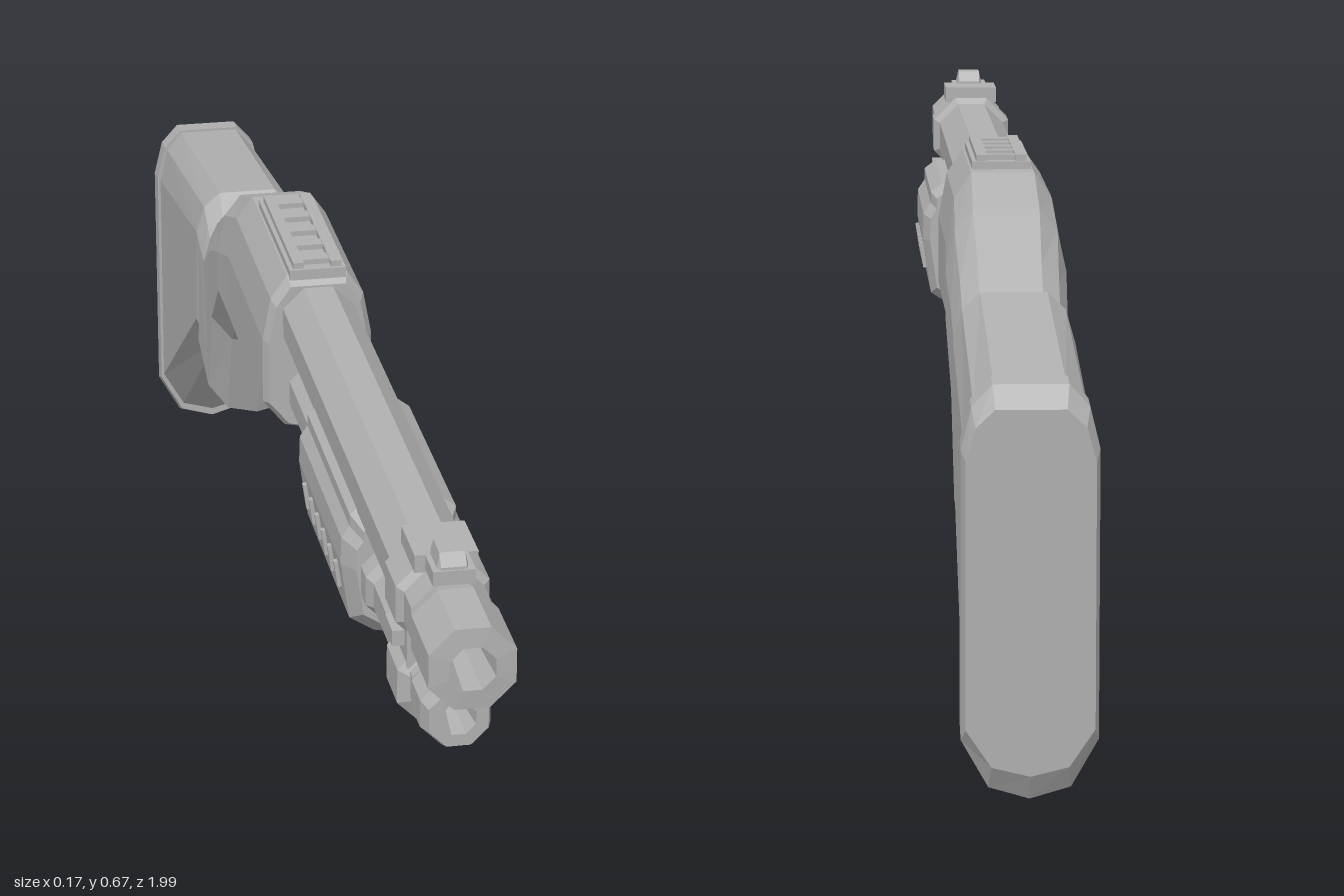
import * as THREE from 'three';

const AXIS = -0.004; // centre line of the whole model in x
const steel = new THREE.MeshStandardMaterial({ color: 0xb0b0b0, flatShading: true });
steel.name = 'grey';

export function createModel() {
  const model = new THREE.Group();
  model.name = 'pumpActionLongGun';

  const add = (name, geometry, x = AXIS, y = 0, z = 0) => {
    const mesh = new THREE.Mesh(geometry, steel);
    mesh.name = name;
    mesh.position.set(x, y, z);
    model.add(mesh);
    return mesh;
  };
  const box = (name, w, h, d, x, y, z) => add(name, new THREE.BoxGeometry(w, h, d), AXIS + x, y, z);

  // Octagonal turned part along z; the profile is [radius, z] from back to front
  const turned = (name, y, profile) => {
    const g = new THREE.LatheGeometry(profile.map(([r, z]) => new THREE.Vector2(r, z)), 8, Math.PI / 8);
    g.rotateX(Math.PI / 2);
    return add(name, g, AXIS, y);
  };

  // Skin over rings running from front to back, closed at both ends
  const loft = (name, rings) => {
    const pos = [];
    const tri = (...pts) => pts.forEach((p) => pos.push(...p));
    const n = rings[0].length;
    const centre = (ring) => [0, 1, 2].map((k) => ring.reduce((s, p) => s + p[k], 0) / n);
    const first = rings[0], last = rings[rings.length - 1];
    for (let j = 0; j < n; j++) {
      const k = (j + 1) % n;
      for (let i = 0; i < rings.length - 1; i++) {
        const a = rings[i], b = rings[i + 1];
        tri(a[j], a[k], b[k]);
        tri(a[j], b[k], b[j]);
      }
      tri(centre(first), first[k], first[j]);
      tri(centre(last), last[j], last[k]);
    }
    const g = new THREE.BufferGeometry();
    g.setAttribute('position', new THREE.Float32BufferAttribute(pos, 3));
    g.computeVertexNormals();
    return add(name, g);
  };

  // Bevelled cross-section between a top point and a bottom point, which may lean
  const section = ([zt, yt, zb, yb, hw, top, bottom]) => {
    const h = yt - yb;
    const at = (x, drop) => [x, yt - drop, zt + (zb - zt) * (drop / h)];
    const right = [
      [hw * 0.55, 0], [hw * 0.85, top * 0.35], [hw, top],
      [hw, h - bottom], [hw * 0.6, h - bottom * 0.2],
    ];
    return [
      ...right.map(([x, d]) => at(x, d)),
      at(0, h),
      ...right.slice().reverse().map(([x, d]) => at(-x, d)),
    ];
  };

  // Receiver, curving down into the grip: top z, y, bottom z, y, half width, bevels
  loft('receiver', [
    [0, 0.63, 0, 0.425, 0.066, 0.08, 0.04],
    [-0.012, 0.642, -0.012, 0.418, 0.073, 0.09, 0.045],
    [-0.29, 0.642, -0.31, 0.418, 0.073, 0.09, 0.045],
    [-0.385, 0.607, -0.37, 0.425, 0.076, 0.08, 0.045],
    [-0.475, 0.55, -0.463, 0.345, 0.072, 0.06, 0.045],
    [-0.555, 0.492, -0.51, 0.215, 0.07, 0.05, 0.045],
    [-0.57, 0.505, -0.6, 0.252, 0.072, 0.05, 0.045],
  ].map(section));

  // Shoulder stock and butt plate
  loft('stock', [
    [-0.555, 0.492, -0.59, 0.275, 0.07, 0.05, 0.045],
    [-0.585, 0.53, -0.604, 0.28, 0.074, 0.06, 0.05],
    [-0.955, 0.482, -0.955, 0.015, 0.075, 0.075, 0.065],
  ].map(section));
  loft('buttPlate', [
    [-0.95, 0.486, -0.945, 0.012, 0.079, 0.075, 0.07],
    [-0.985, 0.482, -0.972, 0.0, 0.079, 0.075, 0.07],
    [-1, 0.455, -0.99, 0.03, 0.074, 0.06, 0.055],
  ].map(section));

  // Barrel and magazine tube, both hollow at the front
  turned('barrel', 0.58, [
    [0.051, -0.02], [0.051, 0.87], [0.055, 0.89], [0.055, 0.99], [0.029, 0.992], [0.022, 0.88], [0, 0.88],
  ]);
  turned('magazineTube', 0.478, [
    [0.042, -0.02], [0.042, 0.84], [0.045, 0.85], [0.045, 0.9], [0.038, 0.92], [0.022, 0.92], [0.012, 0.85], [0, 0.85],
  ]);

  // Clamp holding barrel and tube together
  turned('barrelBand', 0.58, [[0.049, 0.745], [0.06, 0.755], [0.06, 0.82], [0.049, 0.83]]);
  turned('tubeBand', 0.472, [[0.04, 0.745], [0.057, 0.755], [0.057, 0.82], [0.04, 0.83]]);
  box('bandBridge', 0.085, 0.06, 0.075, 0, 0.527, 0.787);
  for (const s of [-1, 1]) box('bandScrew', 0.02, 0.02, 0.045, s * 0.047, 0.53, 0.787);

  // Front sight on a stepped foot
  box('sightFoot', 0.075, 0.022, 0.08, 0, 0.64, 0.8);
  box('sightBase', 0.05, 0.018, 0.1, 0, 0.642, 0.835);
  loft('frontSight', [[0.882, 0.014], [0.87, 0.028], [0.835, 0.028], [0.825, 0.014]].map(([z, h]) =>
    [[-0.015, 0.64 + h, z], [0.015, 0.64 + h, z], [0.022, 0.635, z], [-0.022, 0.635, z]]));

  // Sliding fore-end around the magazine tube, tapered at both ends
  const half = [
    [0.05, 0.568], [0.066, 0.556], [0.066, 0.54], [0.076, 0.525], [0.077, 0.49], [0.066, 0.415], [0.035, 0.395],
  ];
  const outline = [...half, [0, 0.388], ...half.slice().reverse().map(([x, y]) => [-x, y])];
  const pump = loft('foreEnd', [[0.555, 0.8], [0.53, 1], [0.235, 1], [0.218, 0.88]].map(([z, s]) =>
    outline.map(([x, y]) => [x * s, 0.49 + (y - 0.49) * s, z])));
  pump.position.x = 0.006;
  turned('foreEndCollar', 0.478, [[0.042, 0.54], [0.05, 0.545], [0.05, 0.585], [0.042, 0.6]]);
  for (const s of [-1, 1]) {
    for (let i = 0; i < 6; i++) {
      const rib = box('foreEndRib', 0.006, 0.035, 0.008, s * 0.075 + 0.01, 0.462, 0.28 + i * 0.044);
      rib.rotation.z = -s * 0.146;
    }
  }

  // Sight rail on the receiver
  box('railBase', 0.075, 0.014, 0.25, 0, 0.645, -0.128);
  for (const s of [-1, 1]) box('railEdge', 0.014, 0.014, 0.24, s * 0.025, 0.653, -0.128);
  for (let i = 0; i < 5; i++) box('railRib', 0.04, 0.01, 0.02, 0, 0.654, -0.03 - i * 0.049);

  // Trigger guard: a side outline with a finger hole, drawn in z and y
  const guard = new THREE.Shape([
    [-0.17, 0.435], [-0.245, 0.388], [-0.258, 0.35], [-0.295, 0.327], [-0.335, 0.327],
    [-0.366, 0.36], [-0.378, 0.4], [-0.375, 0.44],
  ].map(([z, y]) => new THREE.Vector2(-z, y)));
  const hole = new THREE.Path();
  hole.absellipse(0.299, 0.388, 0.03, 0.036, 0, Math.PI * 2, true);
  guard.holes.push(hole);
  const guardGeo = new THREE.ExtrudeGeometry(guard, { depth: 0.05, bevelEnabled: false, curveSegments: 4 });
  guardGeo.translate(0, 0, -0.025);
  guardGeo.rotateY(Math.PI / 2);
  add('triggerGuard', guardGeo);
  const trigger = box('trigger', 0.014, 0.05, 0.012, 0, 0.4, -0.305);
  trigger.rotation.x = 0.3;

  return model;
}
